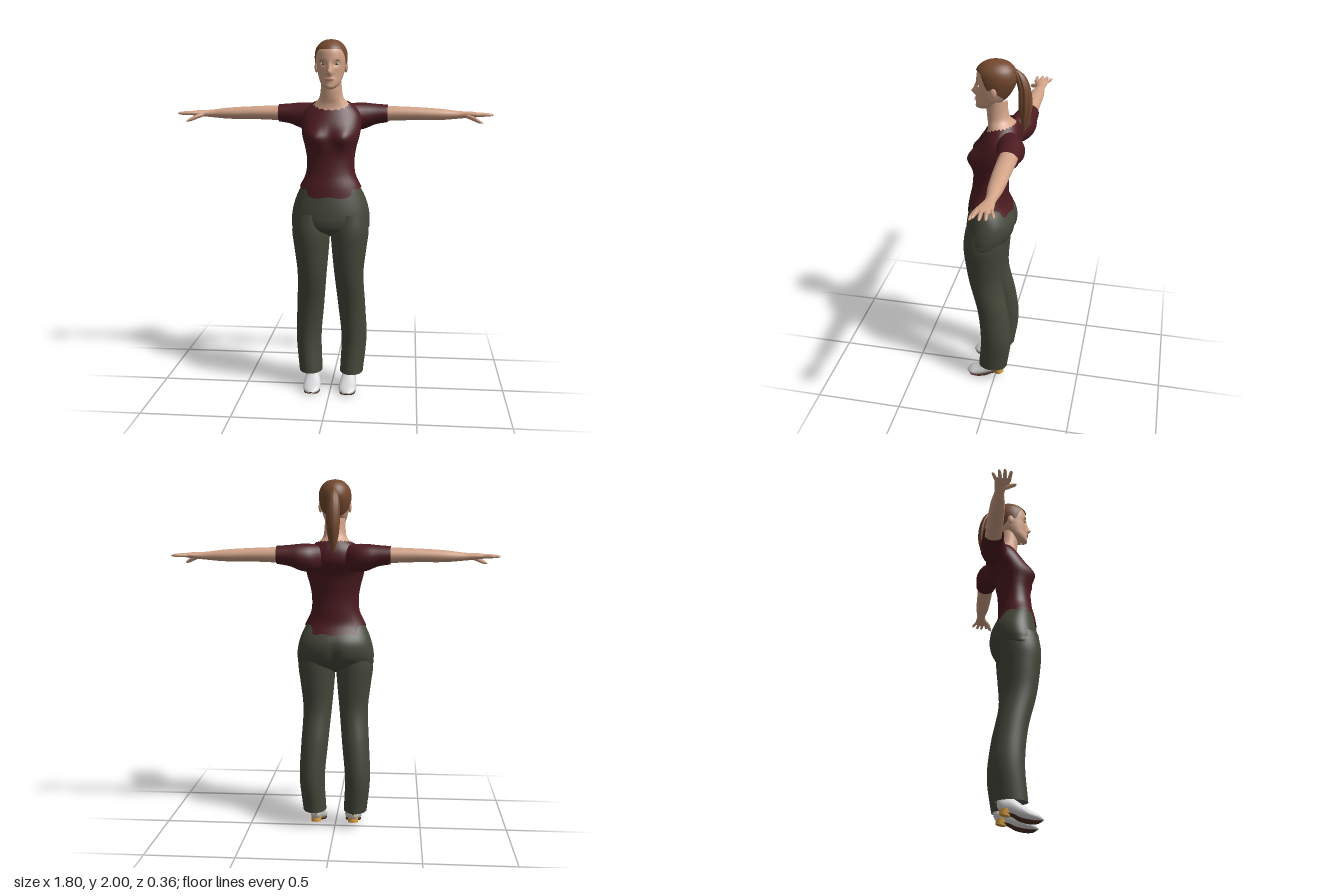
import * as THREE from 'three';

const mat = (name, color, side = THREE.FrontSide) => {
  const m = new THREE.MeshStandardMaterial({ color, side });
  m.name = name;
  return m;
};

// Smooth lookup in rows [t, centreA, centreB, radiusA, radiusB]
function sample(rows, t) {
  let i = 0;
  while (i < rows.length - 2 && t > rows[i + 1][0]) i++;
  const slope = (j, k) => {
    const a = rows[Math.max(j - 1, 0)], b = rows[Math.min(j + 1, rows.length - 1)];
    return (b[k] - a[k]) / (b[0] - a[0]);
  };
  const p = rows[i], q = rows[i + 1], h = q[0] - p[0];
  const u = THREE.MathUtils.clamp((t - p[0]) / h, 0, 1), u2 = u * u, u3 = u2 * u;
  return [1, 2, 3, 4].map((k) => (2 * u3 - 3 * u2 + 1) * p[k] + (u3 - 2 * u2 + u) * h * slope(i, k)
    + (3 * u2 - 2 * u3) * q[k] + (u3 - u2) * h * slope(i + 1, k));
}

// Elliptical skin along an axis; centre and radius A/B follow (x,z), (z,y) or (y,x) for axis y, x or z
function loft(axis, rows, { nu = 24, nv = 24, lo, hi, deform, mirror = 1 } = {}) {
  const [ka, kb] = { y: ['x', 'z'], x: ['z', 'y'], z: ['y', 'x'] }[axis];
  const pos = [], idx = [], v = new THREE.Vector3();
  for (let i = 0; i <= nu; i++) {
    for (let j = 0; j < nv; j++) {
      const a = (j / nv) * Math.PI * 2;
      const start = lo ? lo(a) : rows[0][0], end = hi ? hi(a) : rows[rows.length - 1][0];
      const t = start + (end - start) * i / nu;
      const [ca, cb, ra, rb] = sample(rows, t);
      v[axis] = t;
      v[ka] = ca + Math.max(ra, 0.001) * Math.cos(a);
      v[kb] = cb + Math.max(rb, 0.001) * Math.sin(a);
      if (deform) deform(v, a);
      pos.push(v.x * mirror, v.y, v.z);
      if (i === nu) continue;
      const p = i * nv + j, q = i * nv + (j + 1) % nv;
      if (mirror > 0) idx.push(p, p + nv, q, q, p + nv, q + nv);
      else idx.push(p, q, p + nv, q, q + nv, p + nv);
    }
  }
  const g = new THREE.BufferGeometry();
  g.setAttribute('position', new THREE.Float32BufferAttribute(pos, 3));
  g.setIndex(idx);
  g.computeVertexNormals();
  return g;
}

const bump = (x, y, wx, wy) => Math.exp(-((x / wx) ** 2) - (y / wy) ** 2);

export function createModel() {
  const model = new THREE.Group();
  model.name = 'woman';
  const skin = mat('skin', 0xd2a388);
  const shirt = mat('darkRedShirt', 0x4c1b20, THREE.DoubleSide);
  const cloth = mat('oliveTrousers', 0x45473a, THREE.DoubleSide);
  const hair = mat('brownHair', 0x74492f, THREE.DoubleSide);
  const white = mat('paleGrey', 0xd4d4d6);
  const tan = mat('tanHeel', 0xd9a044);
  const dark = mat('darkBrown', 0x4a3022);
  const lip = mat('lips', 0xb57a6c);

  const add = (name, geo, material, parent = model) => {
    const m = new THREE.Mesh(geo, material);
    m.name = name;
    parent.add(m);
    return m;
  };
  const blob = (name, material, p, r) => {
    const m = add(name, new THREE.SphereGeometry(1, 16, 10), material);
    m.position.set(...p);
    m.scale.set(...r);
  };

  // Head with nose, eye sockets and lips pushed out of the skin
  const head = [
    [1.73, 0, 0.085, 0.004, 0.006], [1.738, 0, 0.08, 0.026, 0.038], [1.76, 0, 0.06, 0.05, 0.06],
    [1.8, 0, 0.035, 0.067, 0.08], [1.85, 0, 0.02, 0.078, 0.096], [1.9, 0, 0.012, 0.084, 0.104],
    [1.945, 0, 0.012, 0.076, 0.095], [1.975, 0, 0.01, 0.052, 0.068], [1.99, 0, 0.01, 0.026, 0.036],
    [1.995, 0, 0.01, 0.001, 0.001]];
  add('head', loft('y', head, {
    nu: 52, nv: 72, deform: (v) => {
      if (v.z < 0.05) return;
      const ax = Math.abs(v.x);
      v.z += 0.026 * bump(v.x, v.y - 1.822, 0.014, 0.017) + 0.012 * bump(v.x, v.y - 1.848, 0.011, 0.025)
        + 0.006 * bump(v.x, v.y - 1.785, 0.025, 0.012) - 0.008 * bump(ax - 0.036, v.y - 1.866, 0.02, 0.014);
    },
  }), skin);
  for (const s of [-1, 1]) {
    blob('ear', skin, [s * 0.081, 1.85, 0.012], [0.011, 0.03, 0.018]);
    blob('eyeWhite', white, [s * 0.037, 1.866, 0.098], [0.015, 0.006, 0.004]);
    blob('iris', dark, [s * 0.037, 1.866, 0.1], [0.006, 0.006, 0.004]);
    blob('eyebrow', hair, [s * 0.038, 1.887, 0.104], [0.018, 0.003, 0.004]);
  }
  blob('mouth', lip, [0, 1.785, 0.121], [0.024, 0.007, 0.005]);

  // Swept-back hair with a hairline above the face
  const hairRows = head.map(([y, x, z, a, b]) => [y + 0.005, x, z, a + 0.006, b + 0.006]);
  hairRows[hairRows.length - 1].splice(3, 2, 0.001, 0.001);
  add('hair', loft('y', hairRows, {
    nu: 28, nv: 48, lo: (a) => {
      const s = Math.sin(a);
      return s > 0 ? 1.86 + 0.085 * THREE.MathUtils.smoothstep(s, 0.2, 0.75) : 1.86 + 0.065 * s;
    },
  }), hair);
  add('ponytail', loft('y', [
    [1.6, 0, -0.135, 0.003, 0.003], [1.66, 0, -0.14, 0.02, 0.019], [1.75, 0, -0.142, 0.033, 0.036],
    [1.85, 0, -0.136, 0.034, 0.033], [1.92, 0, -0.112, 0.024, 0.027], [1.955, 0, -0.09, 0.006, 0.008]],
  { nu: 30, nv: 40, deform: (v, a) => { v.x *= 1 + 0.1 * Math.sin(8 * a + v.y * 12); } }), hair);

  // Neck flaring into the upper chest
  add('neck', loft('y', [
    [1.58, 0, -0.022, 0.14, 0.096], [1.62, 0, -0.03, 0.126, 0.086], [1.65, 0, -0.02, 0.099, 0.073],
    [1.68, 0, -0.004, 0.07, 0.062], [1.72, 0, 0.005, 0.06, 0.057], [1.79, 0, 0.008, 0.056, 0.054]]), skin);

  // Shirt body with scooped neckline and uneven hem
  add('shirtBody', loft('y', [
    [1.13, 0, 0.04, 0.2, 0.13], [1.2, 0, 0.051, 0.17, 0.109], [1.27, 0, 0.045, 0.138, 0.1],
    [1.35, 0, 0.04, 0.133, 0.097], [1.42, 0, 0.035, 0.144, 0.104], [1.48, 0, 0.025, 0.16, 0.11],
    [1.55, 0, -0.008, 0.167, 0.116], [1.6, 0, -0.025, 0.156, 0.102], [1.64, 0, -0.03, 0.124, 0.085],
    [1.68, 0, -0.025, 0.072, 0.064]], {
    nu: 48, nv: 72,
    lo: (a) => 1.147 + 0.045 * THREE.MathUtils.smoothstep(Math.abs(Math.cos(a)), 0.6, 0.75)
      + 0.005 * Math.sin(9 * a),
    hi: (a) => (Math.sin(a) > 0 ? 1.658 - 0.04 * Math.sin(a) ** 2 : 1.658 - 0.01 * Math.sin(a))
      + 0.004 * Math.sin(24 * a),
    deform: (v) => {
      if (v.z > 0.03) v.z += 0.034 * bump(Math.abs(v.x) - 0.085, v.y - 1.472, 0.055, 0.055);
    },
  }), shirt);

  // Trouser seat
  add('trouserSeat', loft('y', [
    [0.915, 0, 0.055, 0.05, 0.02], [0.955, 0, 0.058, 0.2, 0.1], [1, 0, 0.047, 0.219, 0.131],
    [1.05, 0, 0.038, 0.217, 0.139], [1.1, 0, 0.035, 0.206, 0.135], [1.15, 0, 0.041, 0.188, 0.119],
    [1.2, 0, 0.051, 0.162, 0.1], [1.25, 0, 0.046, 0.13, 0.09]], {
    nu: 32, nv: 56, deform: (v) => {
      if (v.z < 0) v.z += 0.022 * bump(v.x, v.y - 1, 0.025, 0.08);
    },
  }), cloth);

  for (const mirror of [1, -1]) {
    const side = new THREE.Group();
    side.name = mirror > 0 ? 'leftLimbs' : 'rightLimbs';
    model.add(side);

    // Trouser leg
    add('trouserLeg', loft('y', [
      [0.1, 0.119, 0.01, 0.067, 0.086], [0.3, 0.132, -0.01, 0.073, 0.09], [0.5, 0.119, 0.01, 0.078, 0.09],
      [0.7, 0.105, 0.055, 0.083, 0.095], [0.85, 0.106, 0.063, 0.098, 0.109],
      [0.95, 0.109, 0.062, 0.107, 0.116], [1.05, 0.108, 0.055, 0.1, 0.11]], { nu: 36, nv: 32, mirror }), cloth, side);

    // Shoe, sole and heel
    add('shoe', loft('z', [
      [-0.065, 0.09, 0.108, 0.008, 0.008], [-0.05, 0.093, 0.108, 0.035, 0.028], [0, 0.085, 0.108, 0.046, 0.036],
      [0.05, 0.06, 0.105, 0.043, 0.043], [0.1, 0.036, 0.103, 0.031, 0.05], [0.15, 0.023, 0.103, 0.019, 0.042],
      [0.175, 0.017, 0.103, 0.004, 0.012]], { mirror }), white, side);
    add('sole', loft('z', [
      [-0.02, 0.046, 0.108, 0.002, 0.026], [0.02, 0.035, 0.107, 0.006, 0.034], [0.05, 0.019, 0.105, 0.006, 0.04],
      [0.1, 0.007, 0.103, 0.006, 0.046], [0.15, 0.006, 0.103, 0.005, 0.038], [0.17, 0.012, 0.103, 0.001, 0.012]],
    { mirror }), dark, side);
    const heel = add('heel', new THREE.CylinderGeometry(0.031, 0.028, 0.034, 20), tan, side);
    heel.position.set(mirror * 0.108, 0.05, -0.023);
    heel.rotation.x = 0.2;

    // Sleeve
    add('sleeve', loft('x', [
      [0.05, -0.055, 1.575, 0.05, 0.065], [0.12, -0.085, 1.575, 0.075, 0.076], [0.18, -0.1, 1.579, 0.074, 0.073],
      [0.24, -0.105, 1.588, 0.064, 0.058], [0.31, -0.108, 1.592, 0.058, 0.049]], { mirror }), shirt, side);

    // Arm and palm
    add('arm', loft('x', [
      [0.2, -0.108, 1.592, 0.048, 0.042], [0.3, -0.108, 1.592, 0.048, 0.042], [0.45, -0.108, 1.592, 0.045, 0.037],
      [0.6, -0.11, 1.588, 0.039, 0.032], [0.71, -0.11, 1.586, 0.026, 0.021], [0.77, -0.105, 1.588, 0.036, 0.017],
      [0.81, -0.1, 1.588, 0.043, 0.013], [0.832, -0.1, 1.587, 0.034, 0.005]], { nu: 36, mirror }), skin, side);

    // Fingers and thumb: base z, tip x, tip z
    for (const [z0, x1, z1] of [[-0.134, 0.865, -0.158], [-0.112, 0.893, -0.128], [-0.09, 0.9, -0.098], [-0.07, 0.887, -0.064]]) {
      const zm = z0 + (z1 - z0) * 0.85, xm = 0.8 + (x1 - 0.8) * 0.85;
      add('finger', loft('x', [
        [0.8, z0, 1.588, 0.01, 0.01], [xm, zm, 1.588, 0.008, 0.008], [x1, z1, 1.586, 0.001, 0.001]],
      { nu: 10, nv: 10, mirror }), skin, side);
    }
    add('thumb', loft('x', [
      [0.735, -0.095, 1.584, 0.012, 0.01], [0.78, -0.065, 1.57, 0.016, 0.013], [0.82, -0.043, 1.552, 0.01, 0.01],
      [0.838, -0.036, 1.545, 0.001, 0.001]], { nu: 12, nv: 10, mirror }), skin, side);
  }
  return model;
}
